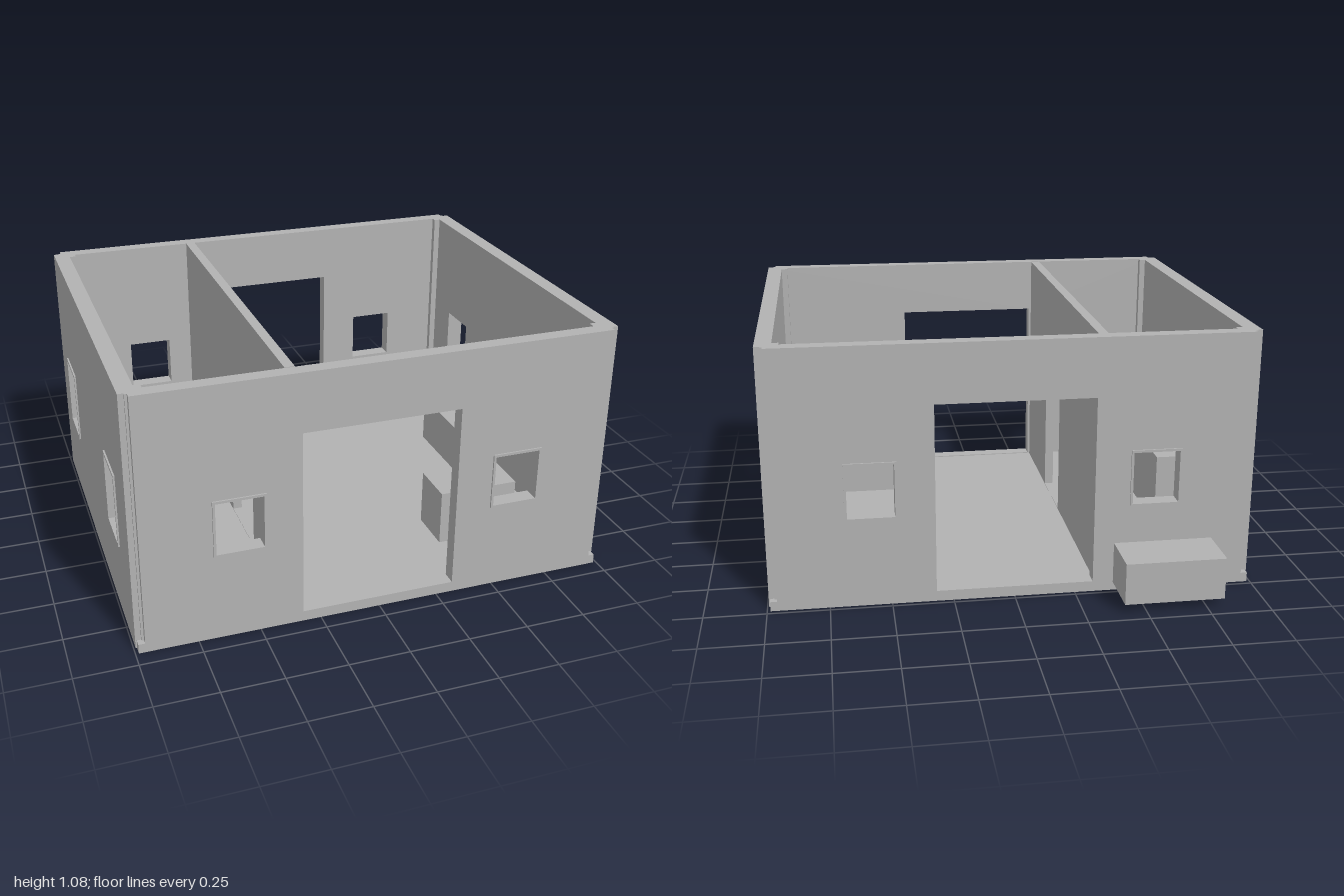
import * as THREE from 'three';

const BASE = 0.04, TOP = 1.08;            // floor top and wall top
const OUT_X = 0.993, IN_X = 0.927;        // side wall faces
const FRONT = 0.93, BACK = -0.73, T = 0.06; // front and back wall faces, thickness

export function createModel() {
  const group = new THREE.Group();
  const grey = new THREE.MeshStandardMaterial({ color: 0xb2b2b2 });
  grey.name = 'plain grey';

  const add = (name, geometry) => {
    const mesh = new THREE.Mesh(geometry, grey);
    mesh.name = name;
    group.add(mesh);
    return mesh;
  };

  // Box given by its limits on each axis
  const block = (name, x0, x1, y0, y1, z0, z1) => add(name,
    new THREE.BoxGeometry(x1 - x0, y1 - y0, z1 - z0)
      .translate((x0 + x1) / 2, (y0 + y1) / 2, (z0 + z1) / 2));

  const trace = (path, [a, b, c, d]) => {
    path.moveTo(a, c);
    path.lineTo(b, c);
    path.lineTo(b, d);
    path.lineTo(a, d);
    path.closePath();
    return path;
  };

  // Upright panel with rectangular openings, extruded along z; limits are [u0, u1, y0, y1]
  const panel = (outline, openings, depth) => {
    const shape = trace(new THREE.Shape(), outline);
    openings.forEach(o => shape.holes.push(trace(new THREE.Path(), o)));
    return new THREE.ExtrudeGeometry(shape, { depth, bevelEnabled: false });
  };

  // Thin border around a window, standing slightly proud of the wall
  const frame = (o, depth) => {
    const w = 0.01;
    return panel([o[0] - w, o[1] + w, o[2] - w, o[3] + w], [o], depth);
  };

  // Floor slab
  block('floor', -0.987, 0.987, 0, BASE, BACK, FRONT);

  // Front and back walls: doorway between two small windows
  const door = [-0.325, 0.32, BASE + 0.004, 0.835];
  const smallWindows = [[-0.67, -0.48, 0.38, 0.6], [0.48, 0.67, 0.38, 0.6]];
  const doorWall = () => panel([-0.96, 0.96, BASE, TOP], [door, ...smallWindows], T);
  add('frontWall', doorWall().translate(0, 0, FRONT - T));
  add('backWall', doorWall().translate(0, 0, BACK));
  for (const o of smallWindows) {
    add('frontWindowFrame', frame(o, 0.02).translate(0, 0, FRONT - 0.013));
    add('backWindowFrame', frame(o, 0.02).translate(0, 0, BACK - 0.007));
  }

  // Side walls: two taller windows each; turned so that u runs along -z
  const sideWindows = [[-0.68, -0.48, 0.345, 0.638], [0.28, 0.48, 0.345, 0.638]];
  for (const side of [-1, 1]) {
    const label = side > 0 ? 'left' : 'right';
    const wallX = side > 0 ? IN_X : -OUT_X;
    const frameX = side > 0 ? OUT_X - 0.013 : -OUT_X - 0.007;
    add(label + 'Wall', panel([-0.9, 0.7, 0.005, TOP], sideWindows, OUT_X - IN_X)
      .rotateY(Math.PI / 2).translate(wallX, 0, 0));
    for (const o of sideWindows)
      add(label + 'WindowFrame', frame(o, 0.02)
        .rotateY(Math.PI / 2).translate(frameX, 0, 0));
  }

  // Corner posts: they fill the notched outer corners and project into the rooms
  for (const side of [-1, 1]) {
    for (const [z0, z1] of [[0.84, 0.908], [-0.708, -0.645]]) {
      const x = side * 0.935;
      block('cornerPost', x - 0.035, x + 0.035, BASE, TOP, z0, z1);
    }
  }

  // Partition with an inner doorway
  add('partition', panel([-0.865, 0.675, BASE, TOP], [[-0.405, -0.07, BASE + 0.002, 0.69]], 0.04)
    .rotateY(Math.PI / 2).translate(-0.375, 0, 0));

  // Built-in blocks inside, and the step box behind the back wall
  block('rightRoomCounter', -IN_X, -0.745, BASE, 0.36, -0.155, 0.32);
  block('leftRoomCounter', 0.74, IN_X, BASE, 0.26, -0.32, 0.05);
  block('lowTable', 0.4, 0.75, BASE, 0.28, 0.43, 0.63);
  block('outsideBox', -0.82, -0.41, 0.035, 0.21, -0.94, BACK);

  return group;
}
